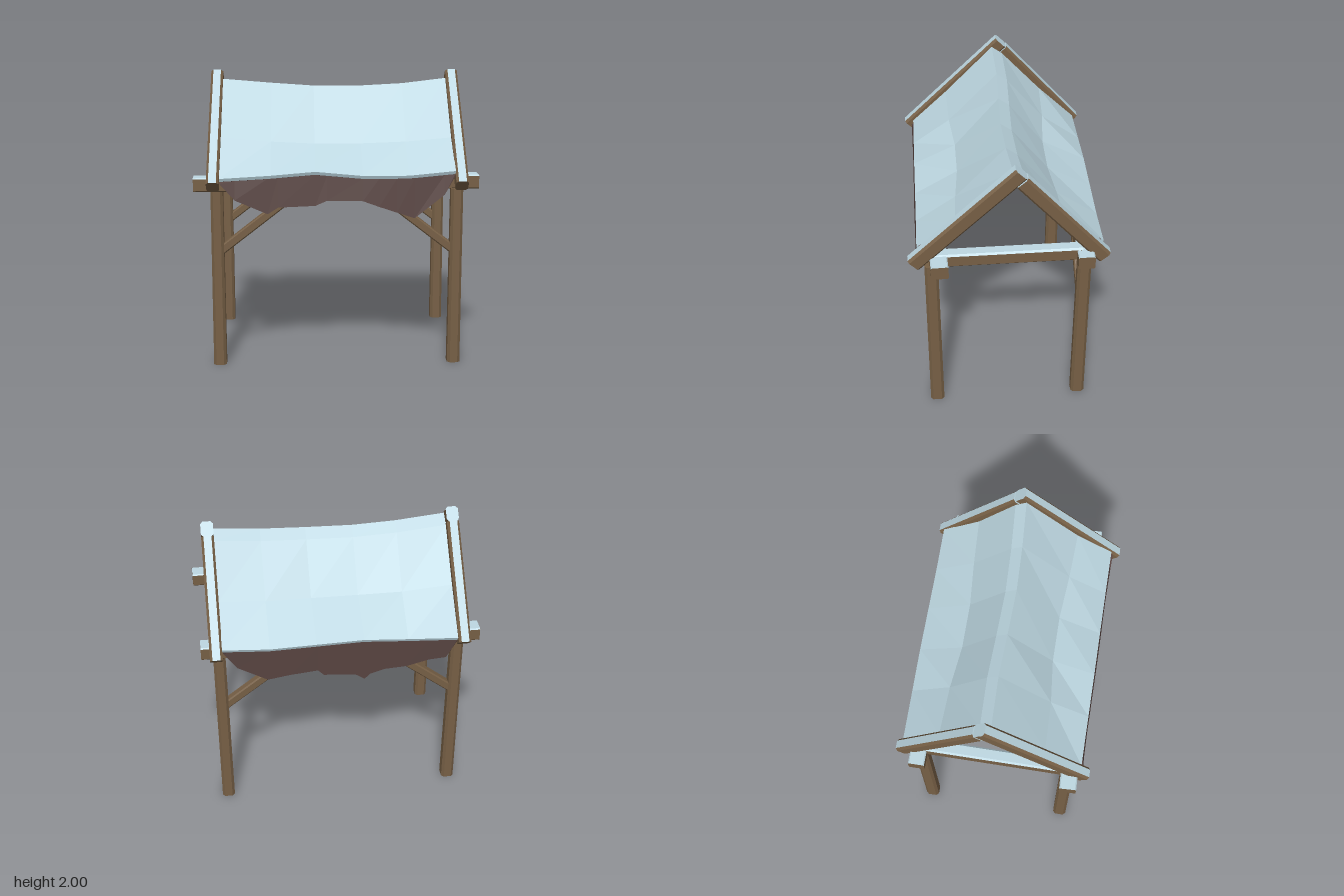
import * as THREE from 'three';

const make = (name, color) => {
  const m = new THREE.MeshStandardMaterial({ color, flatShading: true, side: THREE.DoubleSide });
  m.name = name;
  return m;
};

export function createModel() {
  const group = new THREE.Group();
  const wood = make('wood', 0x765f45);
  const snow = make('paleBlue', 0xbdd7e1);
  const cloth = make('darkBrown', 0x584441);

  // Chamfered timber from a to b; a capped timber gets pale upward faces
  function timber(name, a, b, w, h, chamfer, capped = false, taper = 1) {
    const A = new THREE.Vector3(...a), B = new THREE.Vector3(...b);
    const len = A.distanceTo(B), x = w / 2, y = h / 2, c = chamfer;
    const shape = new THREE.Shape([
      [x, -y + c], [x, y - c], [x - c, y], [-x + c, y],
      [-x, y - c], [-x, -y + c], [-x + c, -y], [x - c, -y],
    ].map(p => new THREE.Vector2(...p)));
    const geo = new THREE.ExtrudeGeometry(shape, { depth: len, bevelEnabled: false });
    const pos = geo.attributes.position;
    for (let i = 0; i < pos.count; i++) {
      const s = 1 + (taper - 1) * pos.getZ(i) / len;
      pos.setXY(i, pos.getX(i) * s, pos.getY(i) * s);
    }
    const dir = B.clone().sub(A).normalize();
    const ref = Math.abs(dir.y) > 0.95 ? new THREE.Vector3(0, 0, 1) : new THREE.Vector3(0, 1, 0);
    const side = ref.cross(dir).normalize();
    const up = dir.clone().cross(side);
    geo.applyMatrix4(new THREE.Matrix4().makeBasis(side, up, dir).setPosition(A));
    geo.computeVertexNormals();
    geo.clearGroups();
    for (let i = 0; i < pos.count; i += 3) {
      geo.addGroup(i, 3, capped && geo.attributes.normal.getY(i) > 0.6 ? 1 : 0);
    }
    const mesh = new THREE.Mesh(geo, capped ? [wood, snow] : wood);
    mesh.name = name;
    group.add(mesh);
  }

  // Faceted surface through cross-sections ordered along x
  function loft(name, sections, material) {
    const v = [];
    for (let i = 0; i < sections.length - 1; i++) {
      for (let j = 0; j < sections[i].length - 1; j++) {
        const a = sections[i][j], b = sections[i + 1][j];
        const c = sections[i + 1][j + 1], d = sections[i][j + 1];
        v.push(...a, ...b, ...c, ...a, ...c, ...d);
      }
    }
    const geo = new THREE.BufferGeometry();
    geo.setAttribute('position', new THREE.Float32BufferAttribute(v, 3));
    geo.computeVertexNormals();
    const mesh = new THREE.Mesh(geo, material);
    mesh.name = name;
    group.add(mesh);
  }

  // Posts, braces, cross beams and rafters
  for (const s of [1, -1]) {
    for (const z of [0.515, -0.495]) {
      timber('post', [s * 0.815, 0, z], [s * 0.815, 1.24, z], 0.088, 0.096, 0.018, false, 0.94);
      timber('brace', [s * 0.79, 0.815, z], [s * 0.25, 1.235, z], 0.06, 0.058, 0.008);
    }
    timber('crossBeam', [s * 0.815, 1.285, 0.5], [s * 0.815, 1.29, -0.48], 0.085, 0.1, 0.012, true);
    timber('frontRafter', [s * 0.835, 1.274, 0.63], [s * 0.835, 1.959, -0.067], 0.085, 0.105, 0.016, true);
    timber('backRafter', [s * 0.835, 1.267, -0.622], [s * 0.835, 1.895, -0.072], 0.085, 0.1, 0.016, true);
  }

  // Long beams, slightly skewed
  timber('frontBeam', [-0.97, 1.28, 0.535], [0.965, 1.28, 0.462], 0.115, 0.095, 0.008, true);
  timber('backBeam', [-0.96, 1.28, -0.5], [0.935, 1.28, -0.495], 0.11, 0.095, 0.008, true);

  // Sagging roof: x, front eave y, kink z, kink y, ridge z, ridge y, back eave y
  const columns = [
    [-0.795, 1.325, 0.35, 1.57, 0.0, 1.935, 1.31],
    [-0.45, 1.345, 0.34, 1.535, -0.01, 1.905, 1.33],
    [-0.15, 1.37, 0.31, 1.515, 0.0, 1.885, 1.35],
    [0.17, 1.34, 0.31, 1.515, 0.01, 1.885, 1.34],
    [0.48, 1.34, 0.335, 1.53, 0.0, 1.9, 1.33],
    [0.795, 1.37, 0.35, 1.56, -0.02, 1.935, 1.35],
  ];
  loft('roofTop', columns.map(([x, fe, kz, ky, rz, ry, be]) => [
    [x, fe - 0.022, 0.595], [x, fe, 0.605], [x, ky, kz], [x, ry, rz],
    [x, ry - 0.055, rz - 0.075], [x, ky, -kz - 0.005], [x, be, -0.62], [x, be - 0.022, -0.61],
  ]), snow);
  loft('roofUnderside', columns.map(([x, fe, kz, ky, rz, ry, be]) => [
    [x, be - 0.022, -0.61], [x, be - 0.03, -0.585], [x, ky - 0.045, -kz + 0.03],
    [x, ry - 0.055, rz - 0.03], [x, ky - 0.045, kz - 0.03], [x, fe - 0.03, 0.57], [x, fe - 0.022, 0.595],
  ]), cloth);

  // Ragged hanging edges, given as x and lower y
  const eaveAt = (x, k) => {
    const i = Math.min(4, Math.max(0, columns.findIndex(c => c[0] > x) - 1));
    const a = columns[i], b = columns[i + 1];
    return a[k] + (b[k] - a[k]) * (x - a[0]) / (b[0] - a[0]) - 0.022;
  };
  function ragged(name, k, s, bottom, topZ, lowZ) {
    loft(name, bottom.map(([x, y]) => {
      const top = eaveAt(x, k), low = Math.min(y, top - 0.01);
      const ring = [
        [x, low, s * lowZ], [x, top, s * topZ], [x, top - 0.008, s * (topZ - 0.03)],
        [x, low, s * (lowZ - 0.03)], [x, low, s * lowZ],
      ];
      return s > 0 ? ring : ring.reverse();
    }), cloth);
  }
  ragged('frontHangingEdge', 1, 1, [
    [-0.79, 1.3], [-0.69, 1.18], [-0.47, 1.085], [-0.4, 1.13], [-0.15, 1.14], [-0.07, 1.175],
    [0.17, 1.17], [0.28, 1.13], [0.4, 1.09], [0.52, 1.05], [0.72, 1.21], [0.79, 1.34],
  ], 0.597, 0.618);
  ragged('backHangingEdge', 6, -1, [
    [-0.79, 1.28], [-0.72, 1.15], [-0.6, 1.14], [-0.45, 1.1], [-0.3, 1.09], [-0.2, 1.06], [-0.16, 1.02],
    [-0.1, 1.06], [0.12, 1.08], [0.16, 1.12], [0.35, 1.1], [0.5, 1.075], [0.7, 1.19], [0.79, 1.32],
  ], 0.612, 0.608);

  return group;
}
